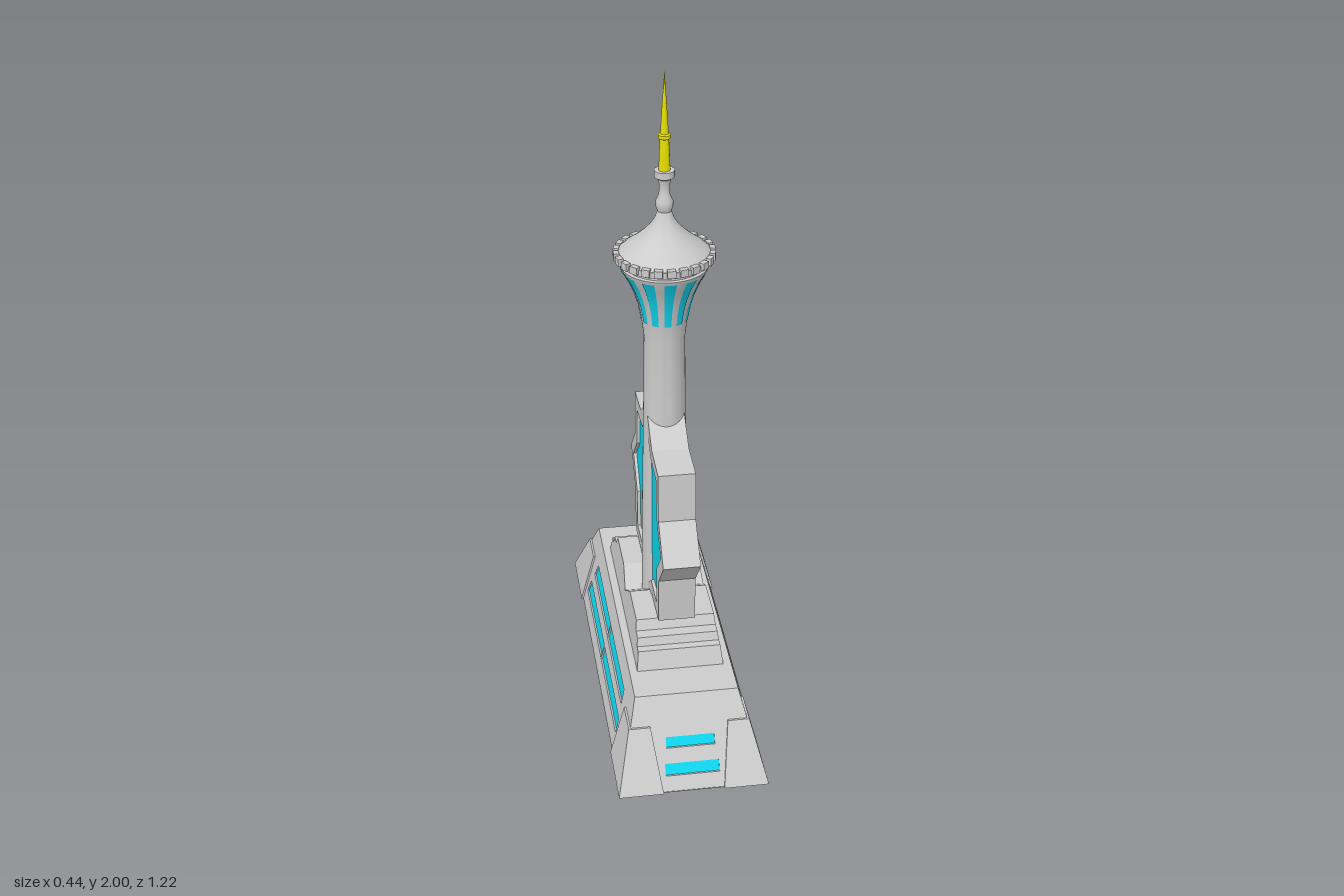
import * as THREE from 'three';
import { toCreasedNormals } from 'three/addons/utils/BufferGeometryUtils.js';

const grey = new THREE.MeshStandardMaterial({ color: 0xcccccc });
const cyan = new THREE.MeshStandardMaterial({ color: 0x10d6f0, side: THREE.DoubleSide });
const yellow = new THREE.MeshStandardMaterial({ color: 0xe6e000 });

const shapeOf = (pts) => new THREE.Shape(pts.map(([x, y]) => new THREE.Vector2(x, y)));
const rect = (x0, x1, y0, y1) => [[x0, y0], [x1, y0], [x1, y1], [x0, y1]];
const mirrorX = (pts) => pts.map(([x, y]) => [-x, y]).reverse();

export function createModel() {
  const model = new THREE.Group();

  function add(name, geometry, material = grey, parent = model) {
    const mesh = new THREE.Mesh(geometry, material);
    mesh.name = name;
    parent.add(mesh);
    return mesh;
  }

  function extrude(pts, depth, holes = []) {
    const shape = shapeOf(pts);
    shape.holes = holes.map(shapeOf);
    return new THREE.ExtrudeGeometry(shape, { depth, bevelEnabled: false });
  }

  // Upright slab leaning inward: its outer face starts at z = out on the ground
  function leaning(pts, holes, out, slope, depth) {
    const g = extrude(pts, depth, holes).translate(0, 0, out - depth);
    return g.applyMatrix4(new THREE.Matrix4().set(1, 0, 0, 0, 0, 1, 0, 0, 0, -slope, 1, 0, 0, 0, 0, 1));
  }

  function lathe(name, pts, material = grey, segments = 40) {
    const g = new THREE.LatheGeometry(pts.map(([r, y]) => new THREE.Vector2(r, y)), segments);
    return add(name, toCreasedNormals(g, 0.55), material);
  }

  // Base: four leaning walls with recessed glass strips and corner plates
  const H = 0.24, CH = 0.165, W = 0.216, L = 0.606, kx = 0.26, kz = 0.635, lip = 0.006;
  const endHoles = [rect(-0.08, 0.08, 0.04, 0.07), rect(-0.072, 0.072, 0.108, 0.135)];
  const sideHoles = [];
  for (const s of [0, 1]) {
    const lower = [[0.004, 0.05], [0.375, 0.05], [0.363, 0.095], [0.004, 0.095]];
    const upper = [[0.004, 0.132], [0.345, 0.132], [0.33, 0.175], [0.004, 0.175]];
    sideHoles.push(...[lower, upper].map((p) => (s ? mirrorX(p) : p)));
  }
  const walls = [
    { name: 'end', turns: [0, Math.PI], half: W, out: L, k: kz, kEdge: kx, holes: endHoles, inner: [0.09, 0.115] },
    { name: 'side', turns: [Math.PI / 2, -Math.PI / 2], half: L, out: W, k: kx, kEdge: kz, holes: sideHoles, inner: [0.4, 0.4] },
  ];
  for (const w of walls) {
    for (const turn of w.turns) {
      const side = new THREE.Group();
      side.name = w.name + 'Wall';
      side.rotation.y = turn;
      model.add(side);
      const top = w.half - w.kEdge * H;
      add('wallPanel', leaning([[-w.half, 0], [w.half, 0], [top, H], [-top, H]], w.holes, w.out, w.k, 0.008), grey, side);
      for (const h of w.holes) add('glassStrip', leaning(h, [], w.out - 0.005, w.k, 0.006), cyan, side);
      const e = w.half + lip;
      const plate = [[w.inner[0], 0], [e, 0], [e - w.kEdge * CH, CH], [w.inner[1], CH]];
      for (const p of [plate, mirrorX(plate)]) {
        add('cornerPlate', leaning(p, [], w.out + lip, w.k, 0.012), grey, side);
      }
    }
  }
  add('baseTop', new THREE.BoxGeometry(2 * (W - kx * H), 0.01, 2 * (L - kz * H)).translate(0, H - 0.005, 0));
  add('baseFloor', new THREE.BoxGeometry(2 * W, 0.002, 2 * L).translate(0, 0.001, 0));

  // Stepped plinth with a notch under the column, its sides leaning inward
  const steps = [[0.335, 0.235], [0.31, 0.295], [0.285, 0.295], [0.275, 0.32], [0.24, 0.32], [0.225, 0.35], [0.075, 0.35]];
  const plinth = extrude([...steps, [0, 0.302], ...mirrorX(steps)], 2).translate(0, 0, -1).rotateY(-Math.PI / 2);
  const pos = plinth.attributes.position;
  for (let i = 0; i < pos.count; i++) {
    pos.setX(i, pos.getX(i) * (0.13 - (pos.getY(i) - 0.24) * 0.11));
  }
  plinth.computeVertexNormals();
  add('steppedPlinth', plinth);

  // Eight-pointed star: open frame with two recessed glass halves
  const starHalf = [[0, 0.27], [0.11, 0.358], [0.255, 0.362], [0.262, 0.51], [0.356, 0.615], [0.258, 0.715],
    [0.25, 0.866], [0.122, 0.874], [0, 0.965]];
  const glassHalf = [[0.03, 0.345], [0.095, 0.4], [0.21, 0.4], [0.216, 0.525], [0.3, 0.615], [0.217, 0.7],
    [0.208, 0.825], [0.09, 0.835], [0.03, 0.885]];
  const halves = [glassHalf, mirrorX(glassHalf)];
  const outline = [...starHalf, ...mirrorX(starHalf).slice(1, -1)];
  add('starFrame', extrude(outline, 0.11, halves).translate(0, 0, -0.055).rotateY(-Math.PI / 2));
  for (const h of halves) {
    add('starGlass', extrude(h, 0.09).translate(0, 0, -0.045).rotateY(-Math.PI / 2), cyan);
  }

  // Column and flared head
  const flare = [[0.067, 1.25], [0.075, 1.295], [0.087, 1.335], [0.104, 1.375], [0.124, 1.41]];
  lathe('column', [[0.07, 0.25], [0.068, 0.6], [0.062, 1.0], [0.06, 1.19], ...flare, [0.127, 1.42],
    [0.118, 1.422], [0.118, 1.435], [0.138, 1.437], [0.138, 1.455], [0.1, 1.46]]);

  // Glass windows around the flare
  const windows = 12, span = 0.29;
  for (let i = 0; i < windows; i++) {
    const profile = flare.map(([r, y]) => new THREE.Vector2(r + 0.002, y));
    add('headWindow', new THREE.LatheGeometry(profile, 4, (i / windows) * Math.PI * 2 - span / 2, span), cyan);
  }

  // Ring of blocks round the rim
  const blocks = 24;
  for (let i = 0; i < blocks; i++) {
    const a = (i / blocks) * Math.PI * 2;
    add('rimBlock', new THREE.BoxGeometry(0.024, 0.022, 0.016).translate(0, 1.453, 0.138).rotateY(a));
  }

  // Curved roof, turned neck and cap
  lathe('roof', [[0.136, 1.455], [0.115, 1.475], [0.088, 1.495], [0.062, 1.518], [0.042, 1.54], [0.028, 1.562],
    [0.02, 1.585], [0.025, 1.6], [0.025, 1.615], [0.016, 1.635], [0.015, 1.665], [0.02, 1.682], [0.029, 1.688],
    [0.029, 1.708], [0, 1.708]]);

  // Spire
  lathe('spire', [[0.017, 1.705], [0.013, 1.8], [0.018, 1.803], [0.018, 1.813], [0.012, 1.816], [0.006, 1.91], [0, 2]], yellow, 16);

  return model;
}
